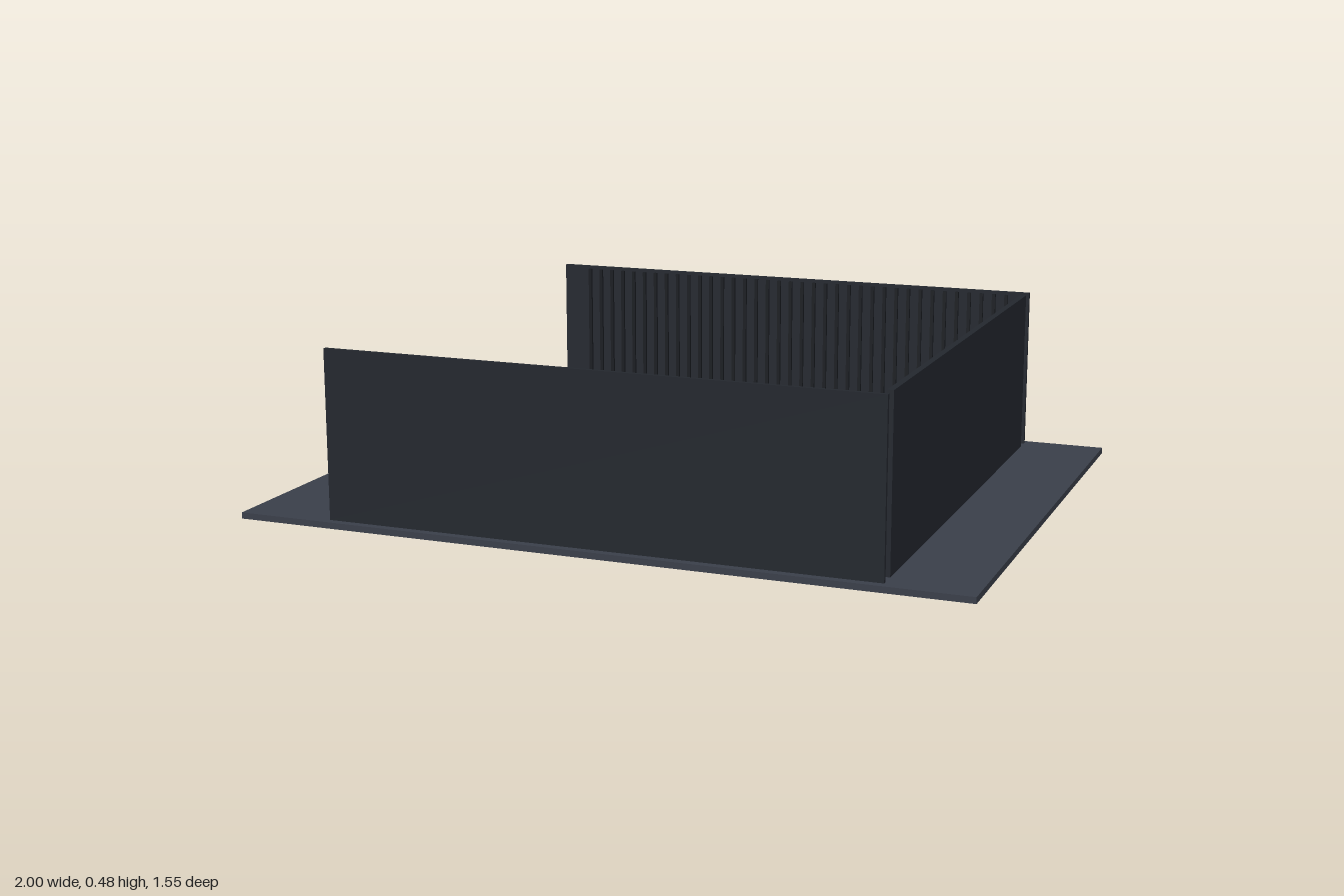
import * as THREE from 'three';

const paint = (color) => new THREE.MeshStandardMaterial({ color });

export function createModel() {
  const model = new THREE.Group();
  const floorMat = paint(0x3a3f4a);
  const wallMat = paint(0x23272e);
  const ribMat = paint(0x181b20);
  const amber = paint(0xb08a3c);
  const grey = paint(0x8a8f96);
  const blue = paint(0x2f7fa8);

  // Box given by its lower and upper limits on each axis
  function box(name, material, [x0, x1], [y0, y1], [z0, z1], parent = model) {
    const mesh = new THREE.Mesh(new THREE.BoxGeometry(x1 - x0, y1 - y0, z1 - z0), material);
    mesh.position.set((x0 + x1) / 2, (y0 + y1) / 2, (z0 + z1) / 2);
    mesh.name = name;
    parent.add(mesh);
  }

  const floorTop = 0.017;
  const wallTop = 0.477;
  const span = (a, b, side) => (side > 0 ? [a, b] : [-b, -a]);

  box('floor', floorMat, [-1, 1], [0, floorTop], [-0.773, 0.773]);
  box('endWall', wallMat, [0.753, 0.77], [floorTop, wallTop], [-0.7, 0.7]);

  for (const side of [1, -1]) {
    const label = side > 0 ? 'front' : 'back';

    // Long wall with upright ribs on its inner face
    box(label + 'Wall', wallMat, [-0.743, 0.77], [floorTop, wallTop], span(0.74, 0.751, side));
    const ribs = new THREE.Group();
    ribs.name = label + 'WallRibs';
    model.add(ribs);
    for (let i = 0; i < 37; i++) {
      const x = -0.655 + i * 0.0377;
      box('rib', ribMat, [x - 0.005, x + 0.005], [0.04, 0.468], span(0.732, 0.74, side), ribs);
    }

    // Row of short floor dashes
    const dashes = new THREE.Group();
    dashes.name = label + 'FloorDashes';
    model.add(dashes);
    for (let i = 0; i < 11; i++) {
      const x = -0.478 + i * 0.0903;
      box('dash', side > 0 ? grey : amber, [x - 0.011, x + 0.011],
        [floorTop, floorTop + 0.002], span(0.604, 0.609, side), dashes);
    }

    // Thin coloured floor line
    box(label + 'FloorLine', side > 0 ? blue : grey, [-0.19, 0.32],
      [floorTop, floorTop + 0.002], span(0.321, 0.327, side));
  }

  return model;
}
